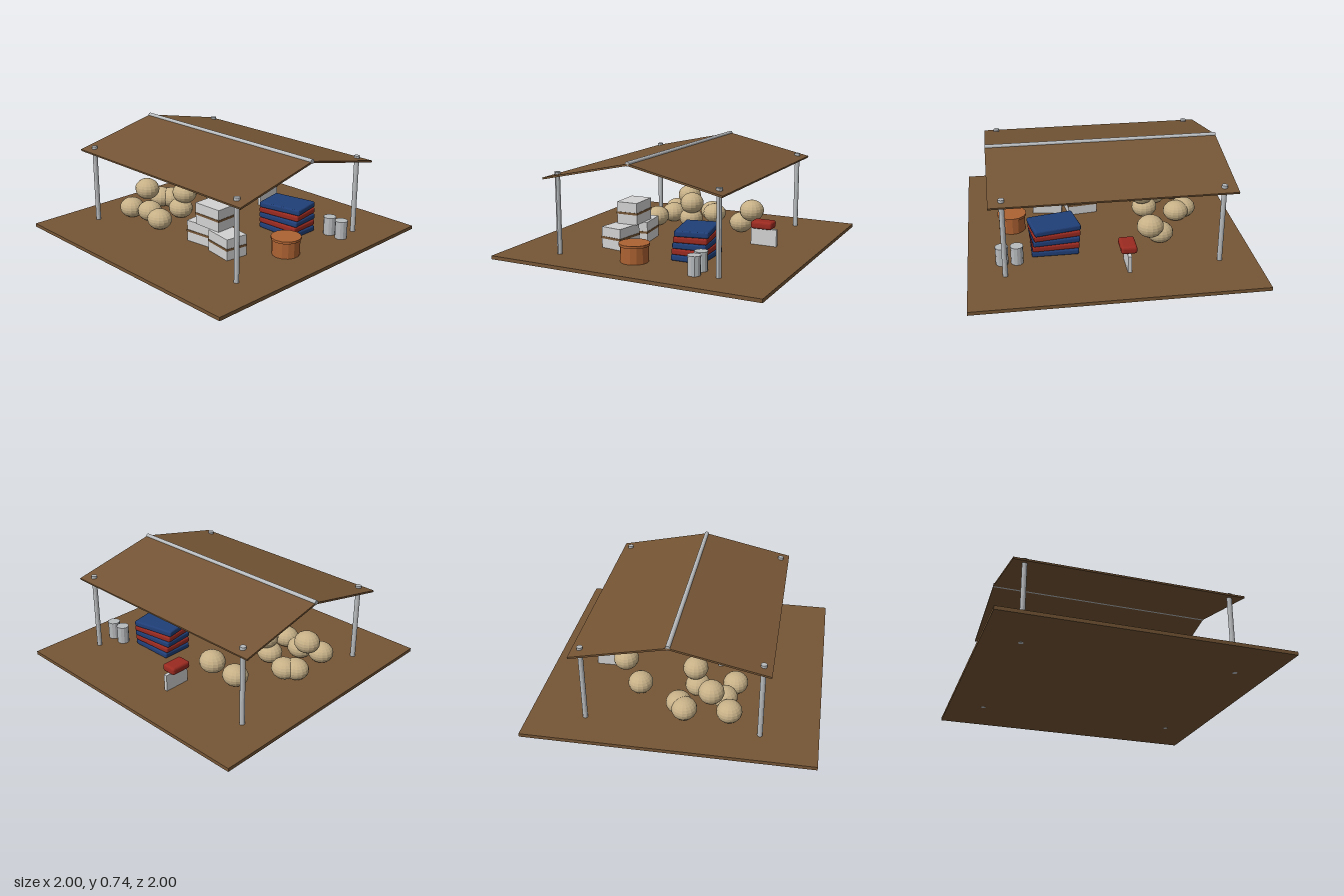
import * as THREE from 'three';
import { RoundedBoxGeometry } from 'three/addons/geometries/RoundedBoxGeometry.js';

const mat = (name, color) => {
  const m = new THREE.MeshStandardMaterial({ color, flatShading: true });
  m.name = name;
  return m;
};

export function createModel() {
  const brown = mat('earth brown', 0x755535);
  const steel = mat('steel grey', 0xb8bbbd);
  const pale = mat('pale grey', 0xd2d2d2);
  const tan = mat('sack tan', 0xc6b087);
  const red = mat('deep red', 0x9a2a20);
  const blue = mat('deep blue', 0x203f78);
  const clay = mat('clay orange', 0xac6232);

  const model = new THREE.Group();
  const floor = 0.026;
  const add = (name, geo, material, x, y, z, parent = model) => {
    const mesh = new THREE.Mesh(geo, material);
    mesh.name = name;
    mesh.position.set(x, y, z);
    parent.add(mesh);
    return mesh;
  };
  const box = (w, h, d) => new THREE.BoxGeometry(w, h, d);
  const cyl = (r, h, n = 12) => new THREE.CylinderGeometry(r, r, h, n);

  // Ground slab and corner posts
  add('ground', box(2, 0.025, 2), brown, 0, 0.0135, 0);
  for (const x of [-0.745, 0.745]) {
    for (const z of [-0.605, 0.605]) {
      add('post', cyl(0.018, 0.6), steel, x, 0.3, z);
      add('postCap', cyl(0.021, 0.02), steel, x, 0.597, z);
    }
  }

  // Two sloping roof panels meeting at the ridge pole
  const slope = Math.atan2(0.145, 0.665);
  for (const s of [-1, 1]) {
    const panel = add('roofPanel', box(1.67, 0.013, 0.681), brown, 0, 0.642, s * 0.3325);
    panel.rotation.x = s * slope;
  }
  const ridge = add('ridgePole', cyl(0.016, 1.67), steel, 0, 0.72, 0);
  ridge.rotation.z = Math.PI / 2;

  // Round sacks: [x, z] on the floor, then [x, z] on top
  const sackGeo = new THREE.SphereGeometry(1, 16, 12);
  const sack = (x, y, z, ry) =>
    add('sack', sackGeo, tan, x, y, z).scale.set(0.096, ry, 0.09);
  [[-0.615, 0.38], [-0.46, 0.33], [-0.28, 0.385], [-0.345, 0.12],
    [-0.57, 0.02], [-0.635, 0.07], [-0.385, -0.29]].forEach(([x, z]) => sack(x, 0.1, z, 0.076));
  [[-0.585, 0.25], [-0.32, 0.1], [-0.285, -0.415]].forEach(([x, z]) => sack(x, 0.225, z, 0.08));

  // Banded crates
  const crate = (x, y, z, w, h, d, turn) => {
    const g = new THREE.Group();
    g.name = 'crate';
    g.position.set(x, y, z);
    g.rotation.y = turn;
    model.add(g);
    add('crateBody', box(w, h, d), pale, 0, h / 2, 0, g);
    add('crateBand', box(w + 0.006, 0.016, d + 0.006), brown, 0, h / 2, 0, g);
  };
  crate(0.13, floor, 0.29, 0.225, 0.154, 0.165, 0.12);
  crate(0.38, floor, 0.33, 0.22, 0.154, 0.165, -0.15);
  crate(0.23, 0.18, 0.302, 0.225, 0.16, 0.16, 0.03);

  // Stack of folded bales, each turned a little more than the last
  const bale = new RoundedBoxGeometry(0.335, 0.043, 0.24, 2, 0.012);
  for (let i = 0; i < 5; i++) {
    const b = add('bale', bale, i % 2 ? red : blue, 0.385, floor + 0.022 + i * 0.0435, -0.28);
    b.rotation.y = i * 0.05;
  }

  // Lidded clay pot
  add('pot', cyl(0.098, 0.115, 14), clay, 0.67, floor + 0.0575, 0.05);
  add('potLid', cyl(0.107, 0.017, 14), clay, 0.67, 0.148, 0.05);

  // Pair of canisters
  for (const x of [0.657, 0.762]) {
    add('canister', cyl(0.044, 0.125), steel, x, floor + 0.0625, -0.442);
    add('canisterLid', cyl(0.046, 0.01), steel, x, 0.154, -0.442);
  }

  // Narrow stand with a padded top
  add('stand', box(0.026, 0.124, 0.195), pale, -0.096, floor + 0.062, -0.588);
  add('standPad', new RoundedBoxGeometry(0.112, 0.056, 0.16, 2, 0.018), red, -0.096, 0.18, -0.58);

  return model;
}
